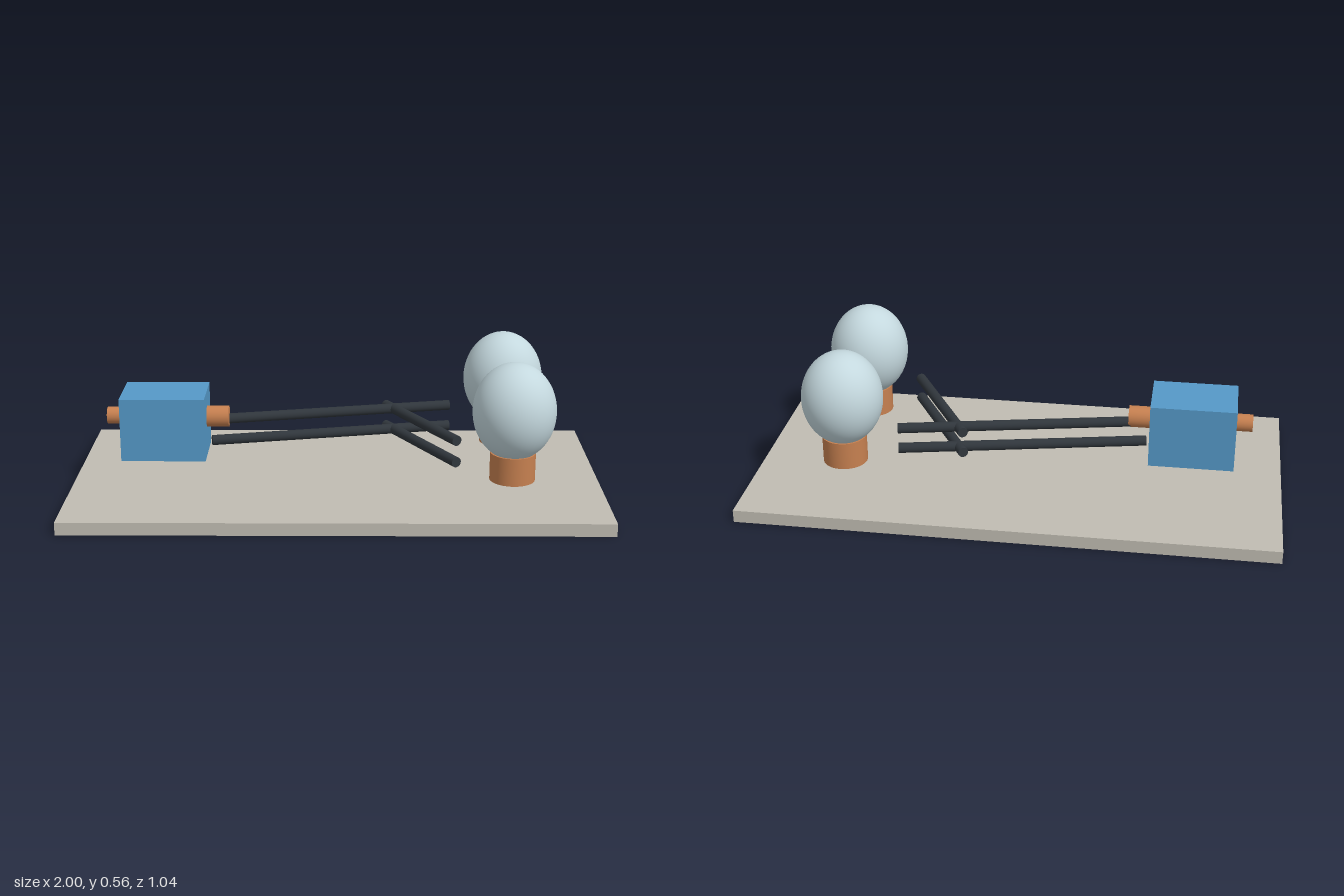
import * as THREE from 'three';

export function createModel() {
  const model = new THREE.Group();
  model.name = 'floatingMechanism';

  const material = (name, color) => {
    const m = new THREE.MeshStandardMaterial({ color });
    m.name = name;
    return m;
  };
  const stone = material('warmGrey', 0xc0bcb2);
  const blue = material('blue', 0x5599c8);
  const copper = material('copper', 0xc68050);
  const dark = material('charcoal', 0x30363c);
  const glass = material('paleGlass', 0xc4d8de);

  const add = (name, geometry, mat, x, y, z) => {
    const mesh = new THREE.Mesh(geometry, mat);
    mesh.name = name;
    mesh.position.set(x, y, z);
    model.add(mesh);
    return mesh;
  };

  // Cylinder running between two points
  const rod = (name, mat, radius, a, b) => {
    const from = new THREE.Vector3(...a);
    const to = new THREE.Vector3(...b);
    const axis = to.clone().sub(from);
    const mid = from.clone().add(to).multiplyScalar(0.5);
    const mesh = add(name, new THREE.CylinderGeometry(radius, radius, axis.length(), 32), mat, mid.x, mid.y, mid.z);
    mesh.quaternion.setFromUnitVectors(new THREE.Vector3(0, 1, 0), axis.normalize());
  };

  // Base plate
  add('basePlate', new THREE.BoxGeometry(2, 0.048, 1.036), stone, 0, 0.024, 0);

  // Housing with a short copper fitting on each end
  add('housing', new THREE.BoxGeometry(0.32, 0.244, 0.232), blue, -0.656, 0.257, -0.002);
  rod('frontFitting', copper, 0.041, [-0.5, 0.279, 0], [-0.412, 0.279, 0]);
  rod('rearFitting', copper, 0.033, [-0.877, 0.282, 0], [-0.81, 0.282, 0]);

  // Two stacked levels of arms, each with a long arm and a cross arm
  [['upper', 0.264], ['lower', 0.18]].forEach(([level, y]) => {
    rod(level + 'LongArm', dark, 0.0195, [-0.48, y, -0.003], [0.443, y, -0.195]);
    rod(level + 'CrossArm', dark, 0.0195, [0.194, y, -0.196], [0.444, y, 0.243]);
  });

  // Bulbs on copper sockets
  [['front', 0.246], ['back', -0.193]].forEach(([side, z]) => {
    const bulb = add(side + 'Bulb', new THREE.SphereGeometry(1, 48, 32), glass, 0.651, 0.38, z);
    bulb.scale.set(0.153, 0.182, 0.153);
    add(side + 'Socket', new THREE.CylinderGeometry(0.084, 0.084, 0.106, 40), copper, 0.651, 0.17, z);
  });

  return model;
}
